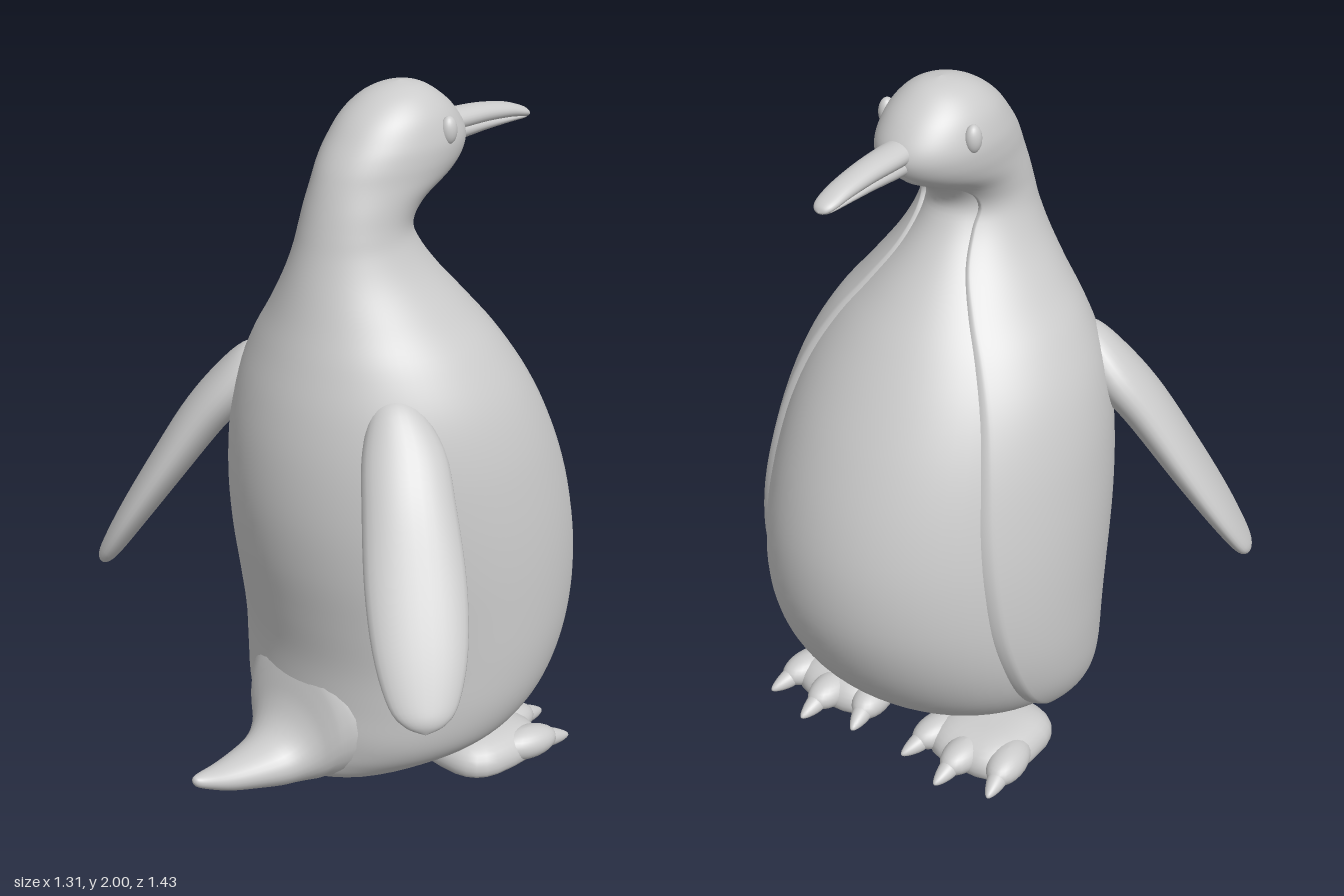
import * as THREE from 'three';

const material = new THREE.MeshStandardMaterial({ color: 0xcccccc, side: THREE.DoubleSide });
const smooth = THREE.MathUtils.smoothstep;

// Smoothly interpolates every column of a table, t in 0..1
function sample(rows, t) {
  const f = t * (rows.length - 1);
  const i = Math.min(Math.floor(f), rows.length - 2), s = f - i;
  const at = k => rows[Math.max(0, Math.min(rows.length - 1, k))];
  return rows[0].map((_, c) => {
    const [a, b, d, e] = [at(i - 1)[c], at(i)[c], at(i + 1)[c], at(i + 2)[c]];
    return b + 0.5 * s * (d - a + s * (2 * a - 5 * b + 4 * d - e + s * (3 * (b - d) + e - a)));
  });
}

// Skins a grid of points; point(t, s) returns [x, y, z]
function skin(name, nu, nv, closed, point) {
  const pos = [], index = [], cols = closed ? nv : nv + 1;
  for (let i = 0; i <= nu; i++)
    for (let j = 0; j < cols; j++) pos.push(...point(i / nu, j / nv));
  for (let i = 0; i < nu; i++)
    for (let j = 0; j < nv; j++) {
      const k = (j + 1) % cols;
      const a = i * cols + j, b = i * cols + k, c = a + cols, d = b + cols;
      index.push(a, c, b, b, c, d);
    }
  const g = new THREE.BufferGeometry();
  g.setAttribute('position', new THREE.Float32BufferAttribute(pos, 3));
  g.setIndex(index);
  g.computeVertexNormals();
  const mesh = new THREE.Mesh(g, material);
  mesh.name = name;
  return mesh;
}

// Loft along x; rows are [x, centre y, half height, half width]
const loftX = (name, rows) => skin(name, 40, 28, true, (t, s) => {
  const [x, y, h, w] = sample(rows, t), q = s * Math.PI * 2;
  return [x, y + Math.max(h, 0) * Math.cos(q), -Math.max(w, 0) * Math.sin(q)];
});

function ellipsoid(name, x, y, z, rx, ry, rz) {
  const mesh = new THREE.Mesh(new THREE.SphereGeometry(1, 24, 16).scale(rx, ry, rz), material);
  mesh.position.set(x, y, z);
  mesh.name = name;
  return mesh;
}

// Body levels: y, back x, front x, half width, half angle of the coat opening
const BODY = [
  [0.012, -0.12, -0.1, 0, 2.5], [0.02, -0.25, 0.0, 0.1, 2.4], [0.05, -0.29, 0.13, 0.22, 2.1],
  [0.1, -0.3, 0.28, 0.32, 1.55], [0.15, -0.3, 0.375, 0.39, 1.3], [0.21, -0.3, 0.46, 0.437, 1.17],
  [0.3, -0.295, 0.54, 0.47, 1.08], [0.42, -0.3, 0.606, 0.486, 1.02], [0.56, -0.325, 0.645, 0.49, 0.96],
  [0.72, -0.355, 0.645, 0.487, 0.9], [0.88, -0.37, 0.608, 0.475, 0.845], [1.04, -0.364, 0.542, 0.452, 0.8],
  [1.18, -0.34, 0.462, 0.412, 0.755], [1.3, -0.305, 0.377, 0.348, 0.7], [1.4, -0.272, 0.292, 0.272, 0.63],
  [1.5, -0.242, 0.202, 0.202, 0.54], [1.58, -0.218, 0.14, 0.163, 0.55], [1.64, -0.202, 0.118, 0.148, 0.64],
  [1.7, -0.185, 0.165, 0.147, 0.56], [1.76, -0.165, 0.272, 0.153, 0.28], [1.81, -0.143, 0.315, 0.157, 0],
  [1.86, -0.11, 0.316, 0.153, 0], [1.92, -0.06, 0.275, 0.132, 0], [1.965, 0.0, 0.222, 0.095, 0],
  [1.99, 0.06, 0.175, 0.05, 0], [2.0, 0.115, 0.12, 0, 0],
];

// Pale front, a slightly slimmer body showing through the coat opening
const belly = () => skin('belly', 100, 64, true, (t, s) => {
  const [y, back, front, w] = sample(BODY, t);
  const q = s * Math.PI * 2, inset = 0.03 * smooth(w, 0.02, 0.12);
  const x0 = back + inset, x1 = front - 0.03 * smooth(y, 1.74, 1.81);
  return [
    (x0 + x1) / 2 + (x1 - x0) / 2 * Math.cos(q),
    y - 0.012 * smooth(y, 1.8, 1.9),
    Math.max(w - inset, 0) * Math.sin(q),
  ];
});

// Coat wrapping the head, back and sides, with a rounded rim around the belly
const coat = () => skin('coat', 120, 90, false, (t, s) => {
  const [y, back, front, w, angle] = sample(BODY, t);
  const edge = y > 1.81 ? 0 : Math.max(angle, 0);
  // columns gather near both rims
  const span = (Math.PI * 2 - 2 * edge) * (s - 0.1 * Math.sin(2 * Math.PI * s));
  const q = edge + span;
  const fromRim = Math.max(0, Math.min(span, 2 * Math.PI - 2 * edge - span));
  const open = 1 - smooth(y, 1.75, 1.81);
  const dip = 0.045 * open * (1 - Math.sqrt(Math.min(1, fromRim / 0.09))) * smooth(w, 0.02, 0.12);
  const a = Math.max((front - back) / 2 - dip, 0);
  return [(back + front) / 2 + a * Math.cos(q), y, Math.max(w - dip, 0) * Math.sin(q)];
});

// Flipper hanging outwards and back; rows are x, y, z, half width, half thickness
function flipper() {
  const rows = [
    [-0.15, 1.24, 0.25, 0, 0], [-0.16, 1.215, 0.28, 0.06, 0.045], [-0.19, 1.12, 0.345, 0.11, 0.068],
    [-0.245, 1.0, 0.425, 0.125, 0.066], [-0.31, 0.83, 0.52, 0.135, 0.056], [-0.367, 0.68, 0.6, 0.124, 0.045],
    [-0.408, 0.57, 0.655, 0.092, 0.033], [-0.424, 0.525, 0.678, 0.052, 0.022], [-0.43, 0.505, 0.686, 0, 0],
  ];
  const d = new THREE.Vector3(-0.27, -0.7, 0.37).normalize();
  const u = new THREE.Vector3(0.82, 0.05, 0.56);
  u.addScaledVector(d, -u.dot(d)).normalize();
  const v = u.clone().cross(d);
  return skin('flipper', 36, 28, true, (t, s) => {
    const [x, y, z, w, h] = sample(rows, t), q = s * Math.PI * 2;
    return new THREE.Vector3(x, y, z)
      .addScaledVector(u, Math.max(w, 0) * Math.cos(q))
      .addScaledVector(v, Math.max(h, 0) * Math.sin(q)).toArray();
  });
}

// Flat-soled foot with three toes and claws
function foot() {
  const group = new THREE.Group();
  group.name = 'foot';
  const flatten = mesh => {
    const p = mesh.geometry.attributes.position;
    for (let i = 0; i < p.count; i++) p.setY(i, Math.max(p.getY(i), 0.005 - mesh.position.y));
    mesh.geometry.computeVertexNormals();
    return mesh;
  };
  const pad = ellipsoid('footPad', 0.22, 0.03, 0.245, 1, 1, 1);
  const p = pad.geometry.attributes.position;
  const square = n => Math.sign(n) * Math.abs(n) ** 0.65;
  for (let i = 0; i < p.count; i++)
    p.setXYZ(i, 0.165 * square(p.getX(i)), 0.075 * p.getY(i), 0.155 * square(p.getZ(i)));
  group.add(flatten(pad));
  for (const k of [-1, 0, 1]) {
    const toe = new THREE.Group();
    toe.name = 'toe';
    toe.add(flatten(ellipsoid('toeJoint', 0.07, 0.045, 0, 0.1, 0.048, 0.055)));
    const claw = ellipsoid('claw', 0.155, 0.038, 0, 1, 1, 1);
    const c = claw.geometry.attributes.position;
    for (let i = 0; i < c.count; i++) {
      const x = c.getX(i), taper = 1 - 0.35 * Math.max(x, 0);
      c.setXYZ(i, 0.065 * x, 0.028 * c.getY(i) * taper - 0.012 * x, 0.028 * c.getZ(i) * taper);
    }
    claw.geometry.computeVertexNormals();
    toe.add(claw);
    toe.position.set(k ? 0.23 : 0.27, 0, 0.245 + k * 0.105);
    toe.rotation.y = -k * 0.22;
    group.add(toe);
  }
  return group;
}

export function createModel() {
  const model = new THREE.Group();
  model.name = 'penguin';
  model.add(belly(), coat());
  // Tail flaring into the lower back
  model.add(loftX('tail', [
    [-0.657, 0.143, 0, 0], [-0.65, 0.142, 0.014, 0.015], [-0.62, 0.134, 0.024, 0.03], [-0.55, 0.117, 0.039, 0.053],
    [-0.46, 0.108, 0.056, 0.08], [-0.39, 0.107, 0.073, 0.103], [-0.345, 0.122, 0.094, 0.125],
    [-0.315, 0.147, 0.124, 0.15], [-0.295, 0.18, 0.16, 0.178], [-0.275, 0.21, 0.19, 0.202],
    [-0.235, 0.23, 0.212, 0.232], [-0.15, 0.23, 0.21, 0.26],
  ]));
  // Two-part beak
  model.add(loftX('upperBeak', [
    [0.26, 1.853, 0.033, 0.046], [0.34, 1.852, 0.031, 0.045], [0.43, 1.849, 0.028, 0.041],
    [0.52, 1.839, 0.023, 0.037], [0.58, 1.825, 0.017, 0.032], [0.605, 1.817, 0.011, 0.02], [0.613, 1.813, 0, 0],
  ]));
  model.add(loftX('lowerBeak', [
    [0.26, 1.82, 0.03, 0.041], [0.34, 1.821, 0.027, 0.04], [0.43, 1.821, 0.021, 0.036],
    [0.52, 1.817, 0.014, 0.031], [0.58, 1.812, 0.009, 0.024], [0.6, 1.81, 0.006, 0.014], [0.608, 1.81, 0, 0],
  ]));
  // Mirrored pairs
  for (const side of [1, -1]) {
    const pair = new THREE.Group();
    pair.name = side > 0 ? 'rightSideParts' : 'leftSideParts';
    pair.add(flipper(), foot(), ellipsoid('eye', 0.165, 1.88, 0.139, 0.025, 0.039, 0.022));
    pair.scale.z = side;
    model.add(pair);
  }
  return model;
}
